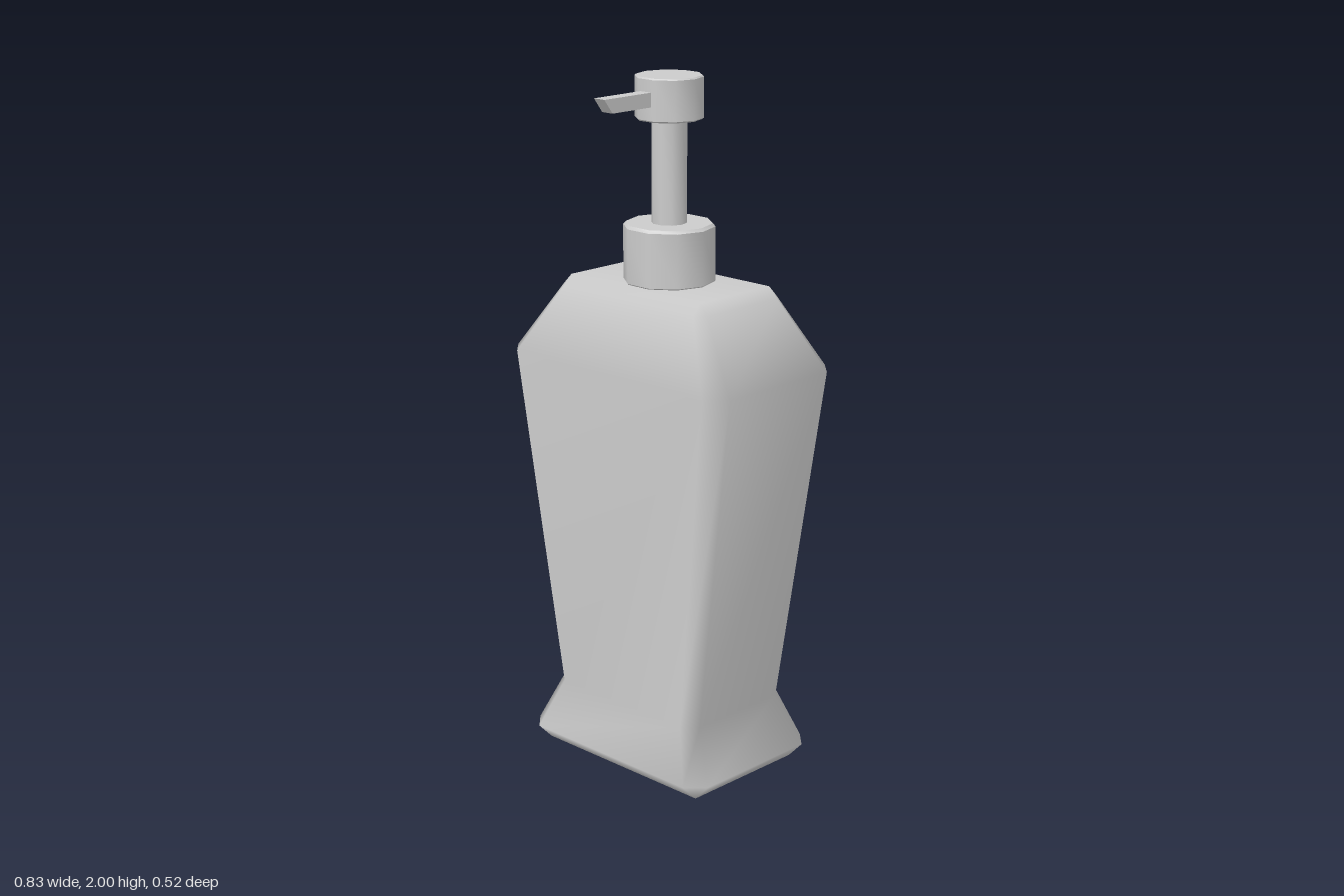
import * as THREE from 'three';
import { mergeVertices, toCreasedNormals } from 'three/addons/utils/BufferGeometryUtils.js';

const material = new THREE.MeshStandardMaterial({ color: 0xcccccc, side: THREE.DoubleSide });
const AXIS_Z = -0.008;

// Bottle: chamfered rectangles stacked upwards [y, half width, half depth, chamfer], open underneath
function bottleGeometry() {
  const rings = [
    [0, 0.3, 0.2, 0], [0.05, 0.348, 0.25, 0.05], [0.2, 0.278, 0.2, 0.04],
    [1.2, 0.417, 0.25, 0.053], [1.395, 0.28, 0.168, 0.028], [1.425, 0.25, 0.14, 0],
  ];
  const positions = [], index = [];
  for (const [y, w, d, c] of rings) {
    const corners = [[w, d - c], [w - c, d], [c - w, d], [-w, d - c],
      [-w, c - d], [c - w, -d], [w - c, -d], [w, c - d]];
    for (const [x, z] of corners) positions.push(x, y, z);
  }
  for (let r = 0; r < rings.length - 1; r++) {
    for (let i = 0; i < 8; i++) {
      const a = r * 8 + i, b = r * 8 + (i + 1) % 8;
      index.push(a, a + 8, b, b, a + 8, b + 8);
    }
  }
  // Flat shoulder top
  const top = (rings.length - 1) * 8;
  for (let i = 1; i < 7; i++) index.push(top, top + i + 1, top + i);
  let geometry = new THREE.BufferGeometry();
  geometry.setAttribute('position', new THREE.Float32BufferAttribute(positions, 3));
  geometry.setIndex(index);
  geometry = mergeVertices(geometry);
  geometry.computeVertexNormals();
  return geometry;
}

// Ten-sided closed drum with a small bevel on both rims
function drumGeometry(radius, y0, y1, bevel) {
  const profile = [[0, y0], [radius - bevel, y0], [radius, y0 + bevel],
    [radius, y1 - bevel], [radius - bevel, y1], [0, y1]];
  const geometry = new THREE.LatheGeometry(profile.map(([x, y]) => new THREE.Vector2(x, y)), 10);
  geometry.rotateY(Math.PI / 2);
  return toCreasedNormals(geometry, 0.7);
}

// Square nozzle whose tip is cut back at the bottom
function spoutGeometry() {
  const geometry = new THREE.BoxGeometry(0.04, 0.04, 0.2);
  const p = geometry.attributes.position;
  for (let i = 0; i < p.count; i++) {
    if (p.getZ(i) > 0 && p.getY(i) < 0) p.setZ(i, p.getZ(i) - 0.03);
  }
  geometry.computeVertexNormals();
  return geometry;
}

export function createModel() {
  const group = new THREE.Group();
  const add = (name, geometry, y = 0, z = AXIS_Z) => {
    const mesh = new THREE.Mesh(geometry, material);
    mesh.name = name;
    mesh.position.set(0, y, z);
    group.add(mesh);
  };
  add('bottle', bottleGeometry());
  add('collar', drumGeometry(0.13, 1.42, 1.59, 0.008));
  add('pumpStem', drumGeometry(0.05, 1.57, 1.885, 0.005));
  add('pumpHead', drumGeometry(0.096, 1.88, 2, 0.004));
  add('spout', spoutGeometry(), 1.942, 0.158);
  return group;
}
